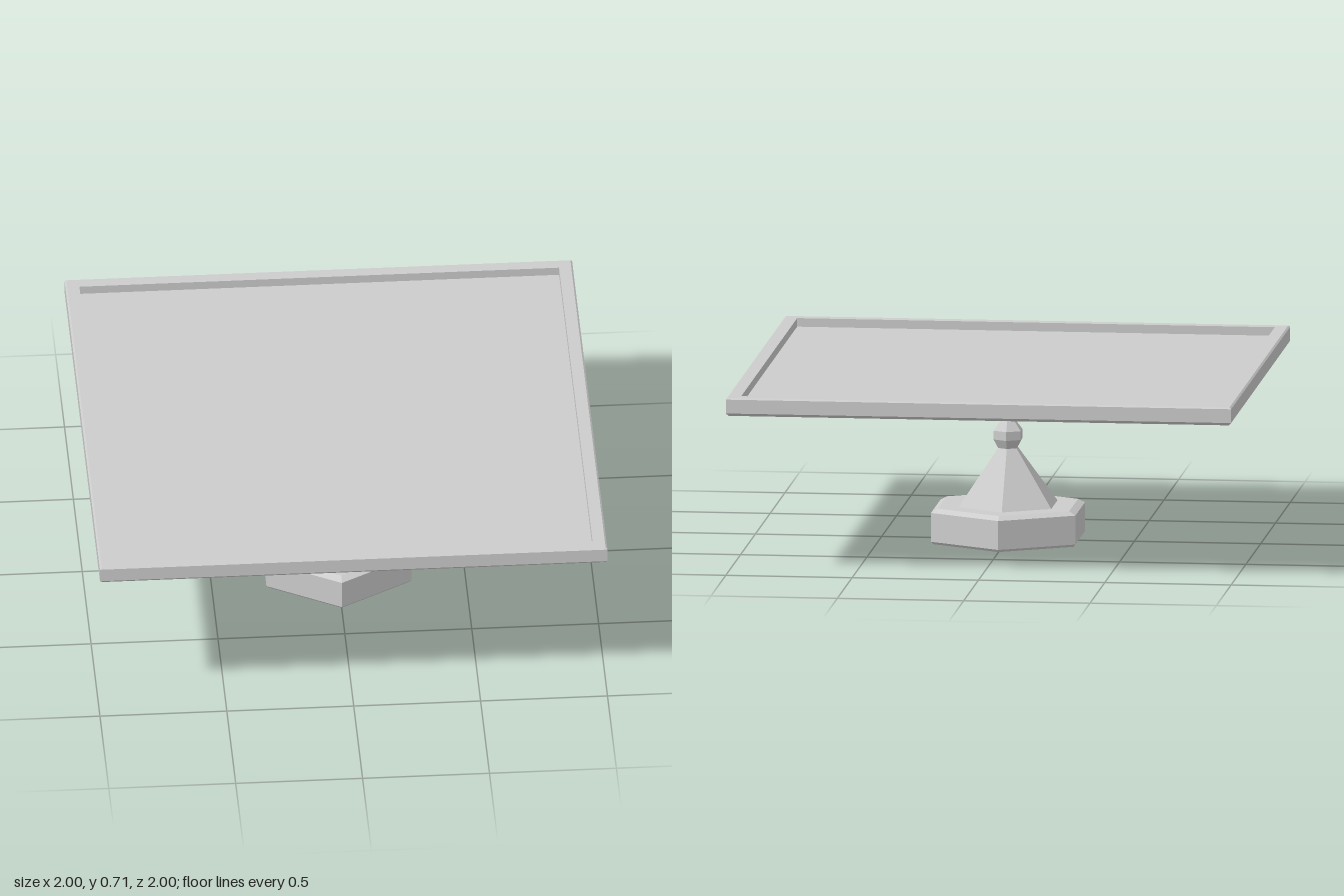
import * as THREE from 'three';

const grey = new THREE.MeshStandardMaterial({ color: 0xcccccc, flatShading: true });
grey.name = 'light grey';

// Six-sided turned part, with a corner facing the front; profile is [radius, y]
function hexTurned(name, profile) {
  const points = profile.map(([r, y]) => new THREE.Vector2(r, y));
  const geometry = new THREE.LatheGeometry(points, 6).toNonIndexed();
  geometry.computeVertexNormals();
  const mesh = new THREE.Mesh(geometry, grey);
  mesh.name = name;
  return mesh;
}

// Skin over rectangular rings [halfX, halfZ, y], running from the top centre outwards and under
function rectLoft(name, rings) {
  const corners = [[1, 1], [1, -1], [-1, -1], [-1, 1]];
  const at = ([hx, hz, y], i) => [corners[i % 4][0] * hx, y, corners[i % 4][1] * hz];
  const positions = [];
  for (let k = 0; k < rings.length - 1; k++) {
    const [a, b] = [rings[k], rings[k + 1]];
    for (let i = 0; i < 4; i++) {
      if (b[0] > 0) positions.push(...at(a, i), ...at(b, i), ...at(b, i + 1));
      if (a[0] > 0) positions.push(...at(a, i), ...at(b, i + 1), ...at(a, i + 1));
    }
  }
  const geometry = new THREE.BufferGeometry();
  geometry.setAttribute('position', new THREE.Float32BufferAttribute(positions, 3));
  geometry.computeVertexNormals();
  const mesh = new THREE.Mesh(geometry, grey);
  mesh.name = name;
  return mesh;
}

export function createModel() {
  const model = new THREE.Group();
  model.name = 'pedestalTable';

  // Bevelled hexagonal foot
  model.add(hexTurned('foot', [[0, 0], [0.32, 0], [0.33, 0.01], [0.33, 0.125], [0.3, 0.14], [0, 0.14]]));

  // Tapered column, knob and thin neck
  model.add(hexTurned('column', [[0.212, 0.14], [0.042, 0.365]]));
  model.add(hexTurned('knob', [[0.042, 0.365], [0.062, 0.4], [0.062, 0.435], [0.03, 0.475]]));
  model.add(hexTurned('neck', [[0.03, 0.475], [0.028, 0.55]]));

  // Square tray top: sunken floor, raised rim and shallow pyramidal underside
  model.add(rectLoft('trayTop', [
    [0, 0, 0.672],
    [0.945, 0.945, 0.672],
    [0.945, 0.945, 0.706],
    [0.993, 0.993, 0.706],
    [1, 1, 0.7],
    [1, 1, 0.645],
    [0.99, 0.99, 0.634],
    [0.715, 0.58, 0.572],
    [0, 0, 0.532],
  ]));

  return model;
}
